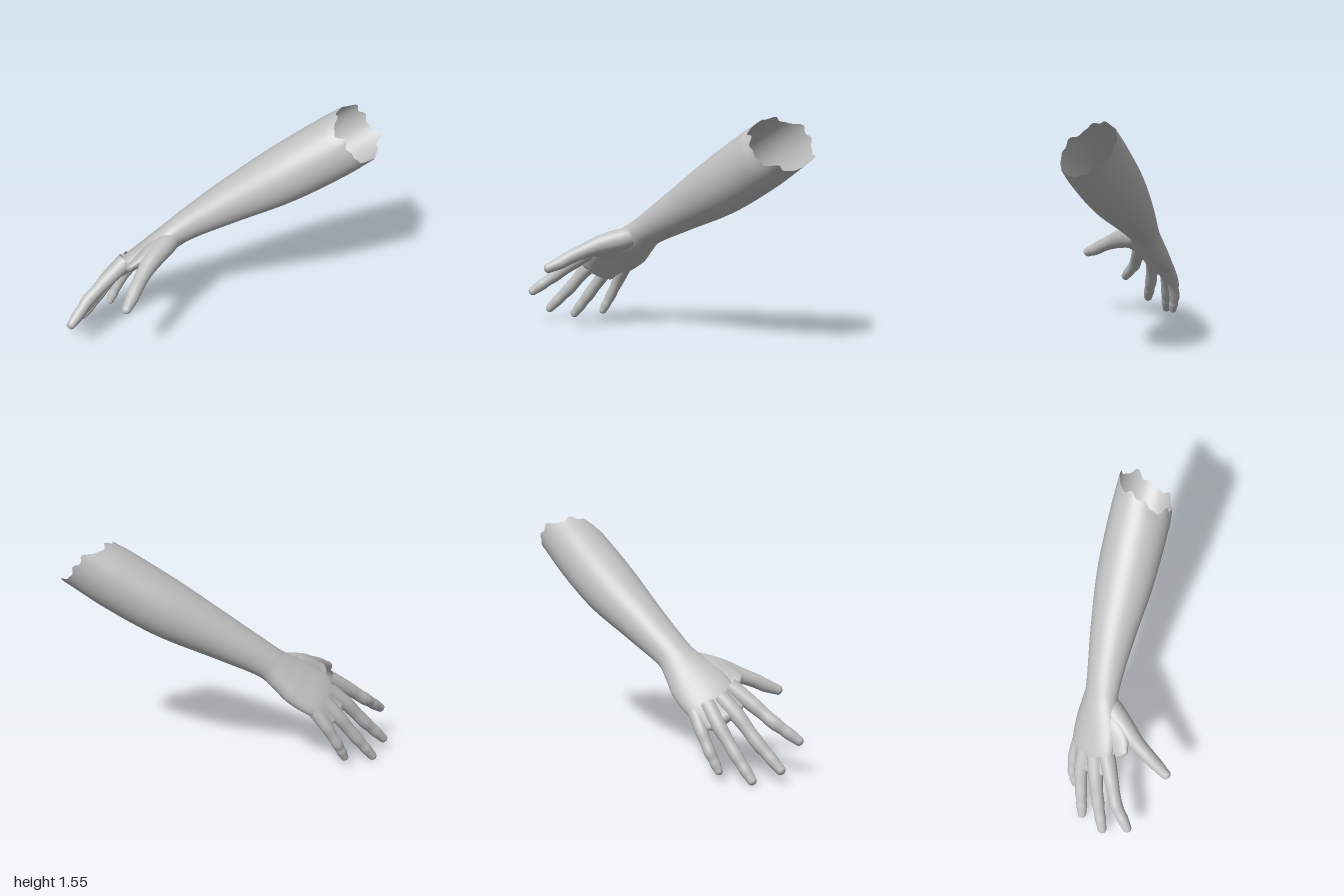
import * as THREE from 'three';

const skin = new THREE.MeshStandardMaterial({ color: 0xc0c0c0, side: THREE.DoubleSide });
skin.name = 'grey skin';

// direction out of the back of the hand
const DORSAL = new THREE.Vector3(-0.7, 0.714, 0);

// Smooth loft through stations [x, y, z, thickness radius, width radius], domed at the far end.
// shape(u, angle) may return { along, out } offsets for a vertex.
function loft(name, stations, { rings = 24, sides = 24, shape = null } = {}) {
  const path = new THREE.CatmullRomCurve3(stations.map(s => new THREE.Vector3(s[0], s[1], s[2])));
  const size = new THREE.SplineCurve(stations.map(s => new THREE.Vector2(s[3], s[4])));
  const domeSteps = 7;
  const positions = [], index = [];
  for (let i = 0; i <= rings + domeSteps; i++) {
    const u = Math.min(i / rings, 1);
    const q = Math.max(i - rings, 0) / domeSteps * Math.PI / 2;
    const c = path.getPoint(u), t = path.getTangent(u), r = size.getPoint(u);
    const n = DORSAL.clone().addScaledVector(t, -DORSAL.dot(t)).normalize();
    const side = new THREE.Vector3().crossVectors(t, n);
    c.addScaledVector(t, Math.sin(q) * r.x * 0.95);
    const k = Math.max(Math.cos(q), 0.002);
    for (let j = 0; j < sides; j++) {
      const a = j / sides * Math.PI * 2;
      const o = shape ? shape(u, a) : { along: 0, out: 0 };
      const p = c.clone()
        .addScaledVector(n, Math.cos(a) * r.x * k + o.out * k)
        .addScaledVector(side, Math.sin(a) * r.y * k)
        .addScaledVector(t, o.along);
      positions.push(p.x, p.y, p.z);
    }
  }
  for (let i = 0; i < rings + domeSteps; i++) {
    for (let j = 0; j < sides; j++) {
      const j2 = (j + 1) % sides;
      const a = i * sides + j, b = i * sides + j2;
      index.push(a, b, a + sides, b, b + sides, a + sides);
    }
  }
  const g = new THREE.BufferGeometry();
  g.setAttribute('position', new THREE.Float32BufferAttribute(positions, 3));
  g.setIndex(index);
  g.computeVertexNormals();
  const mesh = new THREE.Mesh(g, skin);
  mesh.name = name;
  return mesh;
}

// Torn open end of the forearm, and the hollow of the palm
function armShape(u, a) {
  const torn = Math.max(0, 1 - u / 0.1);
  const ragged = 0.016 * Math.sin(5 * a + 1) + 0.012 * Math.sin(9 * a) + 0.009 * Math.sin(14 * a + 2);
  const slant = -0.09 * Math.sin(a);
  const hollow = Math.exp(-(((u - 0.82) / 0.09) ** 2)) * Math.max(0, -Math.cos(a)) ** 5;
  return { along: torn * (slant + ragged), out: 0.03 * hollow };
}

export function createModel() {
  const model = new THREE.Group();
  model.name = 'arm';

  // forearm, wrist and palm as one skin
  model.add(loft('forearmAndPalm', [
    [0.503, 1.398, -0.805, 0.203, 0.19],
    [0.396, 1.29, -0.672, 0.207, 0.2],
    [0.187, 1.09, -0.412, 0.192, 0.193],
    [-0.036, 0.89, -0.122, 0.143, 0.15],
    [-0.2, 0.727, 0.11, 0.1, 0.122],
    [-0.255, 0.655, 0.19, 0.092, 0.143],
    [-0.312, 0.575, 0.278, 0.09, 0.175],
    [-0.397, 0.482, 0.395, 0.07, 0.178],
    [-0.462, 0.392, 0.5, 0.042, 0.142],
  ], { rings: 96, sides: 80, shape: armShape }));

  // fingers, from the buried knuckle to the tip; the radii swell at the joints
  const fingers = {
    indexFinger: [1, [-0.34, 0.565, 0.51], [-0.375, 0.455, 0.67], [-0.4, 0.355, 0.805], [-0.387, 0.243, 0.962]],
    middleFinger: [1, [-0.41, 0.51, 0.46], [-0.46, 0.39, 0.59], [-0.5, 0.24, 0.72], [-0.535, 0.088, 0.868]],
    ringFinger: [0.96, [-0.45, 0.47, 0.385], [-0.522, 0.34, 0.475], [-0.575, 0.18, 0.59], [-0.618, 0.033, 0.7]],
    littleFinger: [0.86, [-0.462, 0.42, 0.305], [-0.53, 0.3, 0.365], [-0.568, 0.18, 0.425], [-0.58, 0.07, 0.483]],
  };
  const mix = (p, q, k) => p.map((v, i) => v + (q[i] - v) * k);
  for (const [name, [scale, root, base, joint, tip]] of Object.entries(fingers)) {
    const ring = (p, r) => [...p, r * scale, r * scale];
    model.add(loft(name, [
      ring(root, 0.056),
      ring(base, 0.049),
      ring(mix(base, joint, 0.5), 0.043),
      ring(joint, 0.044),
      ring(mix(joint, tip, 0.35), 0.038),
      ring(mix(joint, tip, 0.6), 0.039),
      ring(tip, 0.031),
    ], { rings: 36 }));
  }

  // thumb with its fleshy root
  model.add(loft('thumb', [
    [-0.215, 0.69, 0.17, 0.06, 0.07],
    [-0.195, 0.665, 0.28, 0.074, 0.082],
    [-0.16, 0.63, 0.43, 0.066, 0.07],
    [-0.125, 0.592, 0.535, 0.052, 0.054],
    [-0.088, 0.555, 0.625, 0.047, 0.048],
    [-0.055, 0.515, 0.7, 0.043, 0.044],
    [-0.022, 0.483, 0.775, 0.032, 0.035],
  ], { rings: 36, sides: 28 }));

  // skin between thumb and index finger
  model.add(loft('thumbWeb', [
    [-0.25, 0.65, 0.22, 0.07, 0.09],
    [-0.245, 0.625, 0.36, 0.06, 0.11],
    [-0.25, 0.59, 0.47, 0.042, 0.1],
    [-0.26, 0.57, 0.54, 0.028, 0.07],
  ], { sides: 32 }));

  return model;
}
